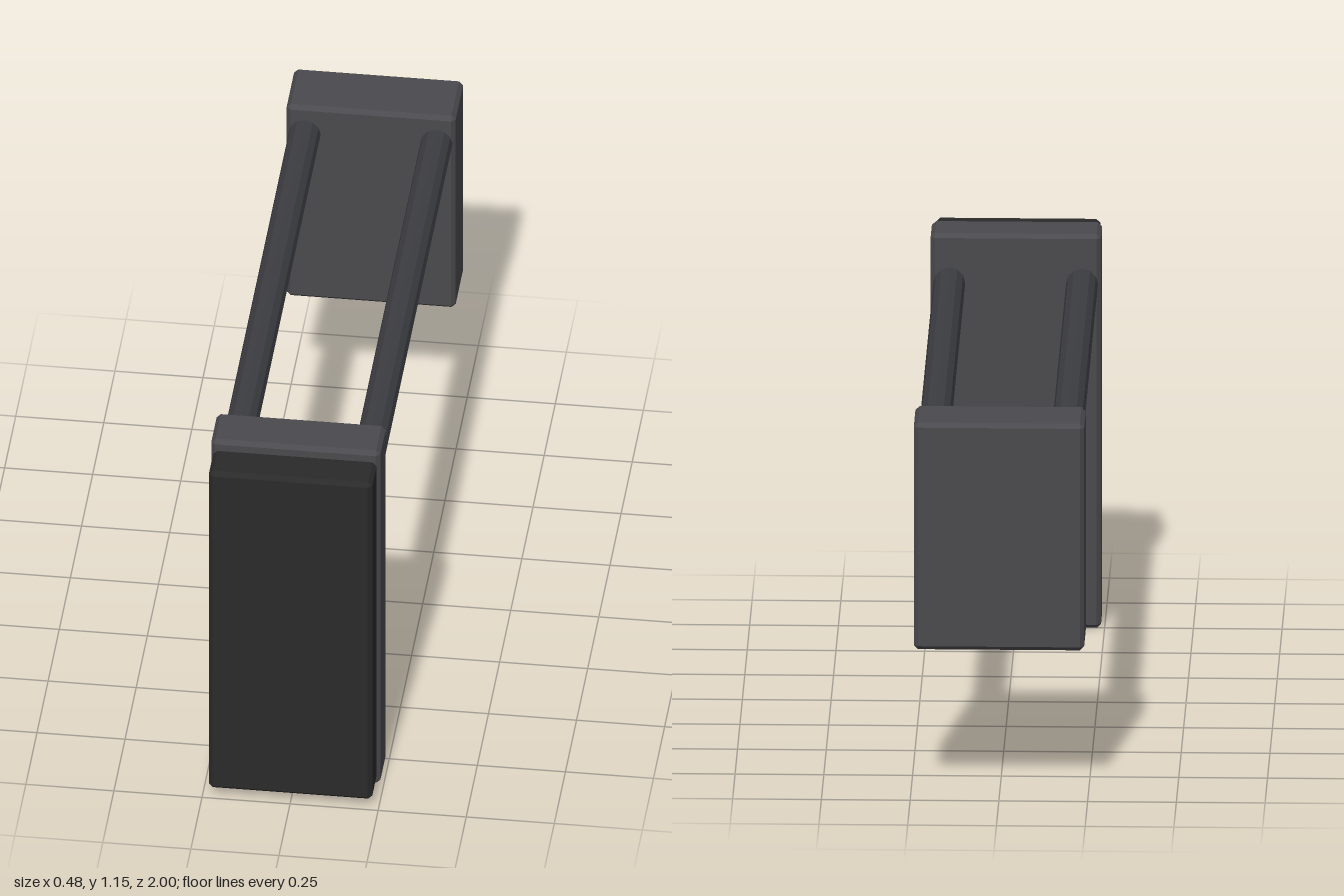
import * as THREE from 'three';
import { ConvexGeometry } from 'three/addons/geometries/ConvexGeometry.js';

const plateMat = new THREE.MeshStandardMaterial({ color: 0x4a4a4e, flatShading: true });
const padMat = new THREE.MeshStandardMaterial({ color: 0x2a2a2a, flatShading: true });
const rodMat = new THREE.MeshStandardMaterial({ color: 0x3c3d42, flatShading: true });

// Box with a single flat chamfer c along every edge
function chamferBox(w, h, d, c) {
  const points = [];
  for (const sx of [-1, 1]) for (const sy of [-1, 1]) for (const sz of [-1, 1]) {
    const x = w / 2, y = h / 2, z = d / 2;
    points.push(
      new THREE.Vector3(sx * x, sy * (y - c), sz * (z - c)),
      new THREE.Vector3(sx * (x - c), sy * y, sz * (z - c)),
      new THREE.Vector3(sx * (x - c), sy * (y - c), sz * z)
    );
  }
  return new ConvexGeometry(points);
}

// Chamfered slab spanning y0..y1 and z0..z1, centred on x
function slab(name, halfWidth, y0, y1, z0, z1, material) {
  const mesh = new THREE.Mesh(chamferBox(halfWidth * 2, y1 - y0, z1 - z0, 0.012), material);
  mesh.position.set(0, (y0 + y1) / 2, (z0 + z1) / 2);
  mesh.name = name;
  return mesh;
}

// Faceted rod along z with chamfered ends
function rod(name, x, y, z0, z1, r) {
  const c = 0.012, h = (z1 - z0) / 2;
  const profile = [[0, -h], [r - c, -h], [r, c - h], [r, h - c], [r - c, h], [0, h]]
    .map(([a, b]) => new THREE.Vector2(a, b));
  const mesh = new THREE.Mesh(new THREE.LatheGeometry(profile, 12), rodMat);
  mesh.rotation.x = Math.PI / 2;
  mesh.position.set(x, y, (z0 + z1) / 2);
  mesh.name = name;
  return mesh;
}

export function createModel() {
  const model = new THREE.Group();
  model.name = 'twinRodBracket';

  // Front plate with its dark facing pad
  model.add(slab('frontPad', 0.232, 0.03, 1.13, 0.88, 1, padMat));
  model.add(slab('frontPlate', 0.24, 0, 1.155, 0.738, 0.88, plateMat));

  // Shorter block at the back
  model.add(slab('backBlock', 0.24, 0.44, 1.105, -1, -0.81, plateMat));

  // Pair of connecting rods
  model.add(rod('leftRod', 0.187, 1.015, -0.83, 0.738, 0.045));
  model.add(rod('rightRod', -0.187, 1.015, -0.83, 0.738, 0.045));

  return model;
}
